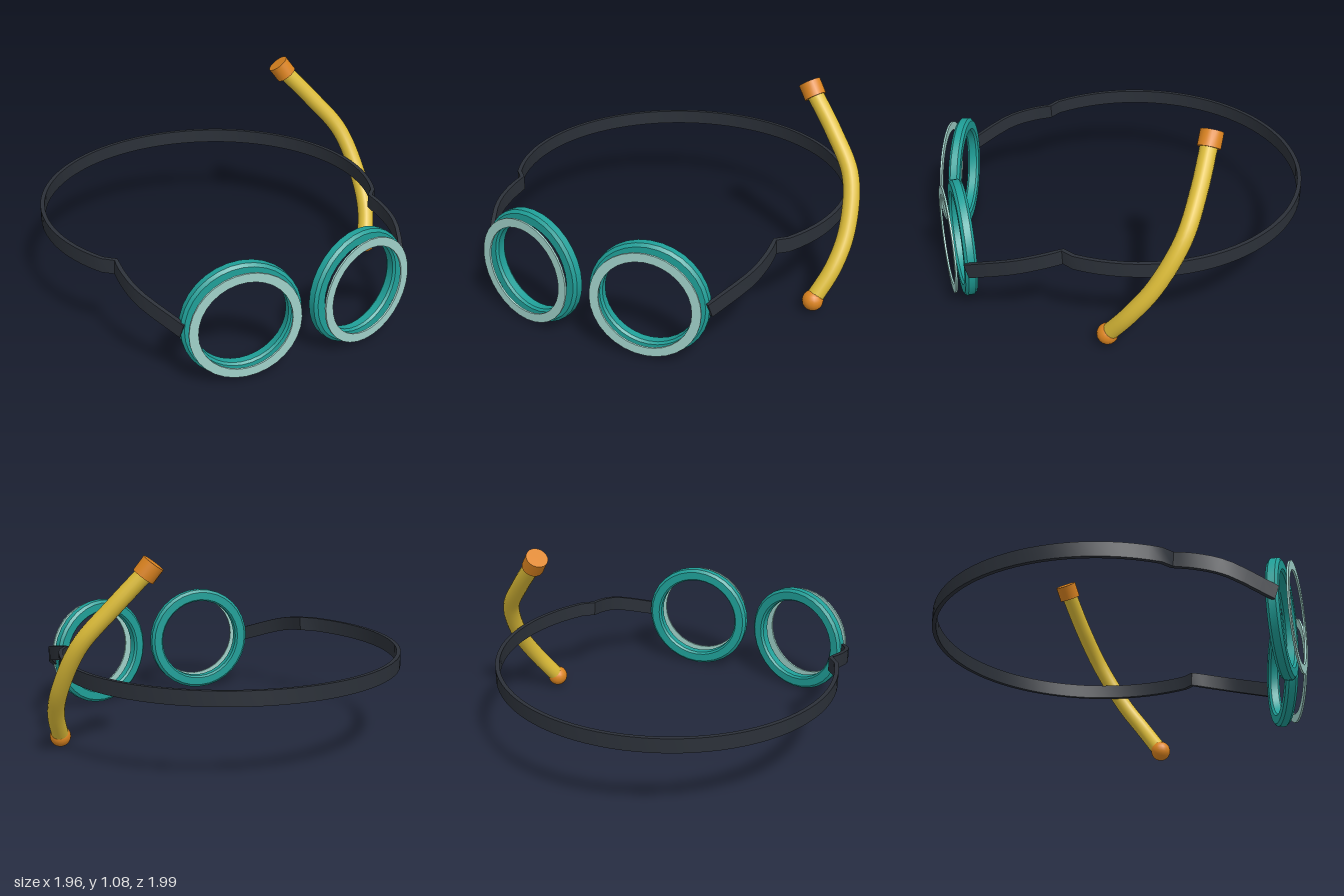
import * as THREE from 'three';
import { toCreasedNormals } from 'three/addons/utils/BufferGeometryUtils.js';

const V = (x, y, z) => new THREE.Vector3(x, y, z);
const mat = (name, color) => {
  const m = new THREE.MeshStandardMaterial({ color });
  m.name = name;
  return m;
};

// Closed ring profile turned around the z axis
function ring(profile) {
  const pts = [...profile, profile[0]].map(([r, z]) => new THREE.Vector2(r, z));
  const g = new THREE.LatheGeometry(pts, 32);
  g.rotateX(Math.PI / 2);
  return toCreasedNormals(g, 0.6);
}

// Flat band swept along a path, standing upright across it
function band(path, height, thick) {
  const pos = [], idx = [];
  const n = path.length;
  path.forEach((p, i) => {
    const t = path[Math.min(i + 1, n - 1)].clone().sub(path[Math.max(i - 1, 0)]).normalize();
    const u = V(0, 1, 0).addScaledVector(t, -t.y).normalize();
    const s = t.clone().cross(u);
    for (const [a, b] of [[1, 1], [-1, 1], [-1, -1], [1, -1]]) {
      const c = p.clone().addScaledVector(u, a * height / 2).addScaledVector(s, b * thick / 2);
      pos.push(c.x, c.y, c.z);
    }
    if (i === n - 1) return;
    for (let k = 0; k < 4; k++) {
      const a = i * 4 + k, b = i * 4 + (k + 1) % 4;
      idx.push(a, b, b + 4, a, b + 4, a + 4);
    }
  });
  const e = (n - 1) * 4;
  idx.push(0, 3, 2, 0, 2, 1, e, e + 1, e + 2, e, e + 2, e + 3);
  const g = new THREE.BufferGeometry();
  g.setAttribute('position', new THREE.Float32BufferAttribute(pos, 3));
  g.setIndex(idx);
  return toCreasedNormals(g, 0.5);
}

export function createModel() {
  const model = new THREE.Group();
  const teal = mat('teal rubber', 0x1f9f98);
  const pale = mat('pale aqua rim', 0x9fd0c8);
  const black = mat('dark strap', 0x2b3038);
  const yellow = mat('yellow tube', 0xdcbc38);
  const orange = mat('orange trim', 0xdc8420);
  const add = (parent, name, geo, m) => {
    const mesh = new THREE.Mesh(geo, m);
    mesh.name = name;
    parent.add(mesh);
    return mesh;
  };
  const midX = -0.055;

  // Eyepieces, each turned slightly outward
  const frameGeo = ring([[0.24, -0.02], [0.25, -0.032], [0.295, -0.032], [0.31, -0.018],
    [0.31, 0.018], [0.295, 0.032], [0.25, 0.032], [0.24, 0.02]]);
  const rimGeo = ring([[0.24, -0.005], [0.287, -0.005], [0.287, 0.005], [0.24, 0.005]]);
  for (const side of [-1, 1]) {
    const eye = new THREE.Group();
    eye.name = side > 0 ? 'leftEyepiece' : 'rightEyepiece';
    eye.position.set(midX + side * 0.337, 0.315, 0.866);
    eye.rotation.y = side * Math.PI / 18;
    add(eye, 'eyeFrame', frameGeo, teal);
    add(eye, 'lensRim', rimGeo, pale).position.z = 0.076;
    model.add(eye);
  }

  // Head strap: side arms joined by a wide loop
  const arm = new THREE.CatmullRomCurve3([
    V(0.64, 0.315, 0.835), V(0.755, 0.405, 0.6), V(0.772, 0.44, 0.46), V(0.764, 0.46, 0.35),
  ]).getPoints(10);
  const loop = [];
  const a0 = 0.47;
  for (let i = 0; i <= 56; i++) {
    const a = a0 - (Math.PI + 2 * a0) * i / 56;
    loop.push(V(0.915 * Math.cos(a), 0.46, -0.1 + 0.885 * Math.sin(a)));
  }
  const mirrored = arm.map(p => V(-p.x, p.y, p.z)).reverse();
  const strap = add(model, 'headStrap', band([...arm, ...loop, ...mirrored], 0.078, 0.022), black);
  strap.position.x = midX + 0.005;

  // Breathing tube with end cap and mouthpiece
  const snorkel = new THREE.Group();
  snorkel.name = 'snorkel';
  model.add(snorkel);
  const curve = new THREE.CatmullRomCurve3([
    V(0.85, 0.07, 0.14), V(0.915, 0.23, 0.035), V(0.934, 0.4, -0.085),
    V(0.885, 0.64, -0.225), V(0.745, 0.83, -0.315), V(0.585, 1.015, -0.387),
  ]);
  add(snorkel, 'tube', new THREE.TubeGeometry(curve, 32, 0.045, 16), yellow);
  const cap = add(snorkel, 'tubeCap',
    toCreasedNormals(new THREE.CylinderGeometry(0.06, 0.06, 0.085, 18), 0.6), orange);
  cap.position.set(0.583, 1.017, -0.388);
  cap.quaternion.setFromUnitVectors(V(0, 1, 0), V(-0.55, 0.8, -0.25).normalize());
  add(snorkel, 'mouthpiece', new THREE.SphereGeometry(0.056, 18, 12), orange)
    .position.set(0.85, 0.068, 0.142);

  return model;
}
